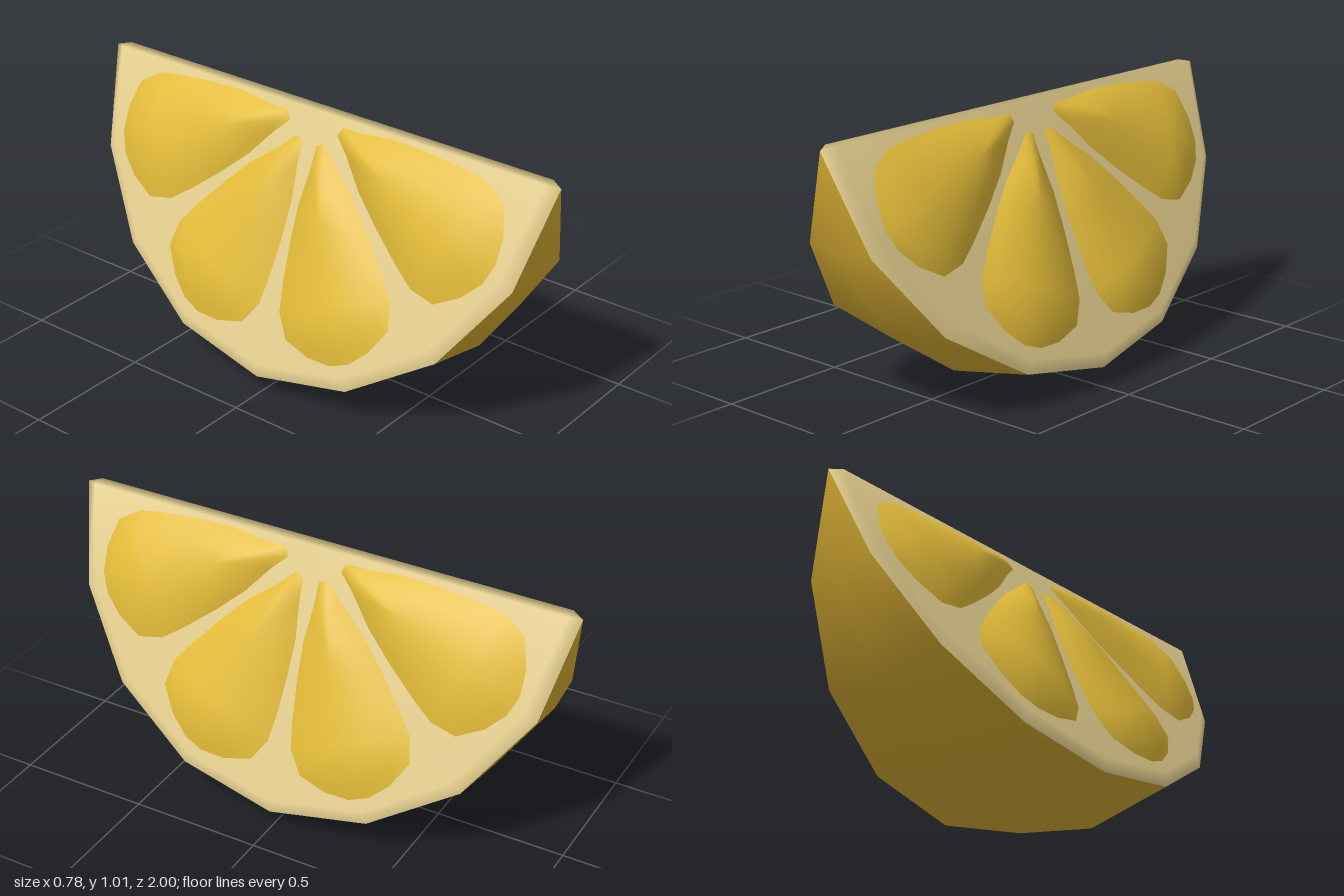
import * as THREE from 'three';
import { mergeVertices } from 'three/addons/utils/BufferGeometryUtils.js';

const HALF = Math.PI / 8;              // half opening angle of the wedge
const C = Math.cos(HALF), S = Math.sin(HALF);
const STEPS = 8;                       // facets along the half circle
const PITH = 0.027, RIM = 0.953;       // pith thickness and radius of its cut face

// Point on a cut plane: z along the wedge edge, d down the plane, off outward from it
const onCut = (z, d, off, side) => [side * (d * S + off * C), 1 - d * C + off * S, z];

// Smooth indexed geometry from a list of corner points
function smooth(corners) {
  const g = new THREE.BufferGeometry();
  g.setAttribute('position', new THREE.Float32BufferAttribute(corners.flat(), 3));
  const merged = mergeVertices(g, 1e-5);
  merged.computeVertexNormals();
  return merged;
}

// Add a triangle or quad, reversed when mirrored
function face(out, pts, flip = false) {
  const p = flip ? [...pts].reverse() : pts;
  for (let i = 1; i < p.length - 1; i++) out.push(p[0], p[i], p[i + 1]);
}

// Outer skin: a narrow gore of a faceted sphere
function rindGeometry() {
  const out = [];
  const pt = (i, j) => {
    const t = (i / STEPS) * Math.PI, p = j * HALF;
    const r = i % STEPS === 0 ? 0 : Math.sin(t);
    return [r * Math.sin(p), 1 - r * Math.cos(p), Math.cos(t)];
  };
  for (let i = 0; i < STEPS; i++) {
    for (let j = -1; j < 1; j++) {
      const quad = [pt(i, j), pt(i + 1, j), pt(i + 1, j + 1), pt(i, j + 1)];
      if (i === 0) quad.pop();
      if (i === STEPS - 1) quad.splice(2, 1);
      face(out, quad);
    }
  }
  return smooth(out);
}

// Both cut faces with their bevelled border, joined by a thin top strip
function pithGeometry() {
  const out = [];
  const ring = (r, off, side, i) => {
    const t = (i / STEPS) * Math.PI;
    return onCut(r * Math.cos(t), i % STEPS === 0 ? 0 : r * Math.sin(t), off, side);
  };
  const rim = (side, i) => ring(RIM, PITH, side, i);
  const edge = (side, i) => ring(1, 0, side, i);
  const mid = (side) => onCut(0, 0, PITH, side);
  for (const side of [1, -1]) {
    for (let i = 0; i < STEPS; i++) {
      face(out, [mid(side), rim(side, i), rim(side, i + 1)], side < 0);
      face(out, [rim(side, i), edge(side, i), edge(side, i + 1), rim(side, i + 1)], side < 0);
    }
  }
  face(out, [rim(1, 0), mid(1), mid(-1), rim(-1, 0)]);
  face(out, [mid(1), rim(1, STEPS), rim(-1, STEPS), mid(-1)]);
  face(out, [edge(1, 0), rim(1, 0), rim(-1, 0)]);
  face(out, [edge(1, STEPS), rim(-1, STEPS), rim(1, STEPS)]);
  return smooth(out);
}

// Half outline of a juicy segment: distance from the centre, half width
const HALF_OUTLINE = [
  [0.125, 0.018], [0.2, 0.05], [0.32, 0.115], [0.45, 0.165], [0.6, 0.213],
  [0.7, 0.238], [0.8, 0.22], [0.87, 0.13], [0.905, 0.04],
];
const OUTLINE = [
  ...HALF_OUTLINE.map(([a, b]) => [a, -b]),
  ...[...HALF_OUTLINE].reverse(),
];

// Domed segment: rings shrinking from the outline to a central spine
function segmentGeometry(side, angle) {
  const out = [];
  const ca = Math.cos(angle), sa = Math.sin(angle);
  const n = OUTLINE.length;
  const levels = [1, 0.82, 0.62, 0.4, 0.2, 0];
  const pt = (s, i) => {
    const [a, b] = OUTLINE[i % n];
    const spine = THREE.MathUtils.clamp(a, 0.4, 0.7);
    const u = spine + (a - spine) * s, v = b * s;
    const height = PITH + 0.048 * (1 - s * s);
    return onCut(u * ca - v * sa, u * sa + v * ca, height, side);
  };
  for (let k = 0; k < levels.length - 1; k++) {
    for (let i = 0; i < n; i++) {
      const s0 = levels[k], s1 = levels[k + 1];
      face(out, [pt(s0, i), pt(s0, i + 1), pt(s1, i + 1), pt(s1, i)], side < 0);
    }
  }
  return smooth(out);
}

export function createModel() {
  const material = (name, color) => {
    const m = new THREE.MeshStandardMaterial({ color });
    m.name = name;
    return m;
  };
  const rindYellow = material('rindYellow', 0xdfb335);
  const pithCream = material('pithCream', 0xe3cd8d);
  const fleshYellow = material('fleshYellow', 0xe2bb39);

  const model = new THREE.Group();
  model.name = 'citrusWedge';
  const add = (parent, name, geometry, mat) => {
    const mesh = new THREE.Mesh(geometry, mat);
    mesh.name = name;
    parent.add(mesh);
  };

  add(model, 'rind', rindGeometry(), rindYellow);
  add(model, 'pith', pithGeometry(), pithCream);

  // Four segments on each cut face
  for (const side of [1, -1]) {
    const group = new THREE.Group();
    group.name = side > 0 ? 'leftSegments' : 'rightSegments';
    for (let k = 0; k < 4; k++) {
      add(group, `segment${k + 1}`, segmentGeometry(side, HALF + (k * Math.PI) / 4), fleshYellow);
    }
    model.add(group);
  }
  return model;
}
